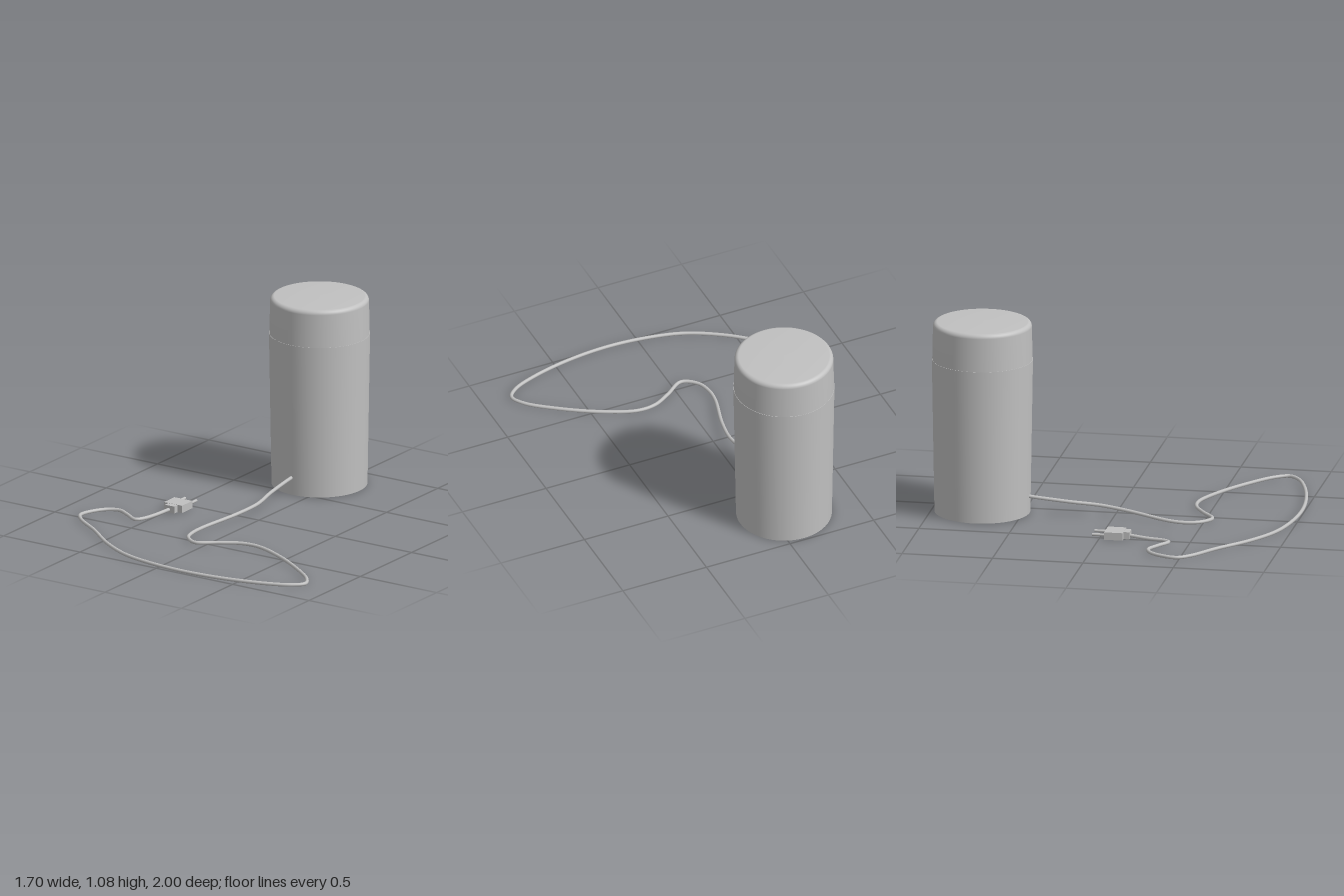
import * as THREE from 'three';

export function createModel() {
  const model = new THREE.Group();
  const grey = new THREE.MeshStandardMaterial({ color: 0xc0c0c0 });
  grey.name = 'light grey';

  const add = (name, geometry, x = 0, y = 0, z = 0) => {
    const mesh = new THREE.Mesh(geometry, grey);
    mesh.name = name;
    mesh.position.set(x, y, z);
    model.add(mesh);
    return mesh;
  };
  const points = (list) => list.map(([x, y]) => new THREE.Vector2(x, y));
  const cx = -0.09, cz = -0.725;

  // Tapered body and its flat base
  add('body', new THREE.LatheGeometry(points([[0.261, 0], [0.275, 0.86]]), 72), cx, 0, cz);
  add('base', new THREE.CircleGeometry(0.261, 72).rotateX(Math.PI / 2), cx, 0, cz);

  // Narrow ledge where the lid meets the body
  add('seam', new THREE.RingGeometry(0.268, 0.275, 72).rotateX(-Math.PI / 2), cx, 0.86, cz);

  // Lid with a rounded rim and a faintly domed top
  const lid = [[0.273, 0.86], [0.269, 1.045]];
  for (let i = 1; i <= 6; i++) {
    const a = (i / 6) * Math.PI * 0.47;
    lid.push([0.244 + 0.025 * Math.cos(a), 1.045 + 0.025 * Math.sin(a)]);
  }
  lid.push([0.16, 1.073], [0.08, 1.0745], [0, 1.075]);
  add('lid', new THREE.LatheGeometry(points(lid), 72), cx, 0, cz);

  // Power cord: leaves the body, slopes down to the floor, then winds to the plug
  const path = [
    [-0.1, -0.48], [-0.098, -0.4], [-0.087, -0.24], [-0.066, -0.08], [-0.09, 0.08],
    [-0.156, 0.317], [-0.16, 0.41], [-0.135, 0.487], [-0.055, 0.54],
    [0.055, 0.47], [0.16, 0.413], [0.267, 0.407], [0.45, 0.48], [0.66, 0.61],
    [0.8, 0.725], [0.838, 0.8], [0.79, 0.857], [0.64, 0.92], [0.4, 0.973],
    [0.16, 0.99], [-0.077, 0.968], [-0.26, 0.92], [-0.447, 0.815], [-0.63, 0.667],
    [-0.79, 0.555], [-0.84, 0.487], [-0.817, 0.397], [-0.765, 0.328], [-0.706, 0.307],
    [-0.63, 0.344], [-0.547, 0.39], [-0.52, 0.354], [-0.5, 0.265], [-0.478, 0.15],
  ];
  const last = path.length - 1;
  const curve = new THREE.CatmullRomCurve3(path.map(([x, z], i) => {
    let y = 0.011;
    if (i < 7) y = Math.max(0.011, 0.096 - (z + 0.46) * 0.103);
    if (i === last) y = 0.018;
    return new THREE.Vector3(x, y, z);
  }));
  add('cord', new THREE.TubeGeometry(curve, 300, 0.01, 12, false));

  // Plug: block, cord collar and two round prongs
  const px = -0.474;
  add('plugBody', new THREE.BoxGeometry(0.117, 0.042, 0.102), px, 0.021, 0.081);
  add('plugCollar', new THREE.BoxGeometry(0.062, 0.04, 0.034), px, 0.021, 0.148);
  for (const side of [-1, 1]) {
    add(side < 0 ? 'rightProng' : 'leftProng',
      new THREE.CylinderGeometry(0.008, 0.008, 0.08, 16).rotateX(Math.PI / 2),
      px + side * 0.037, 0.021, 0);
  }

  return model;
}
